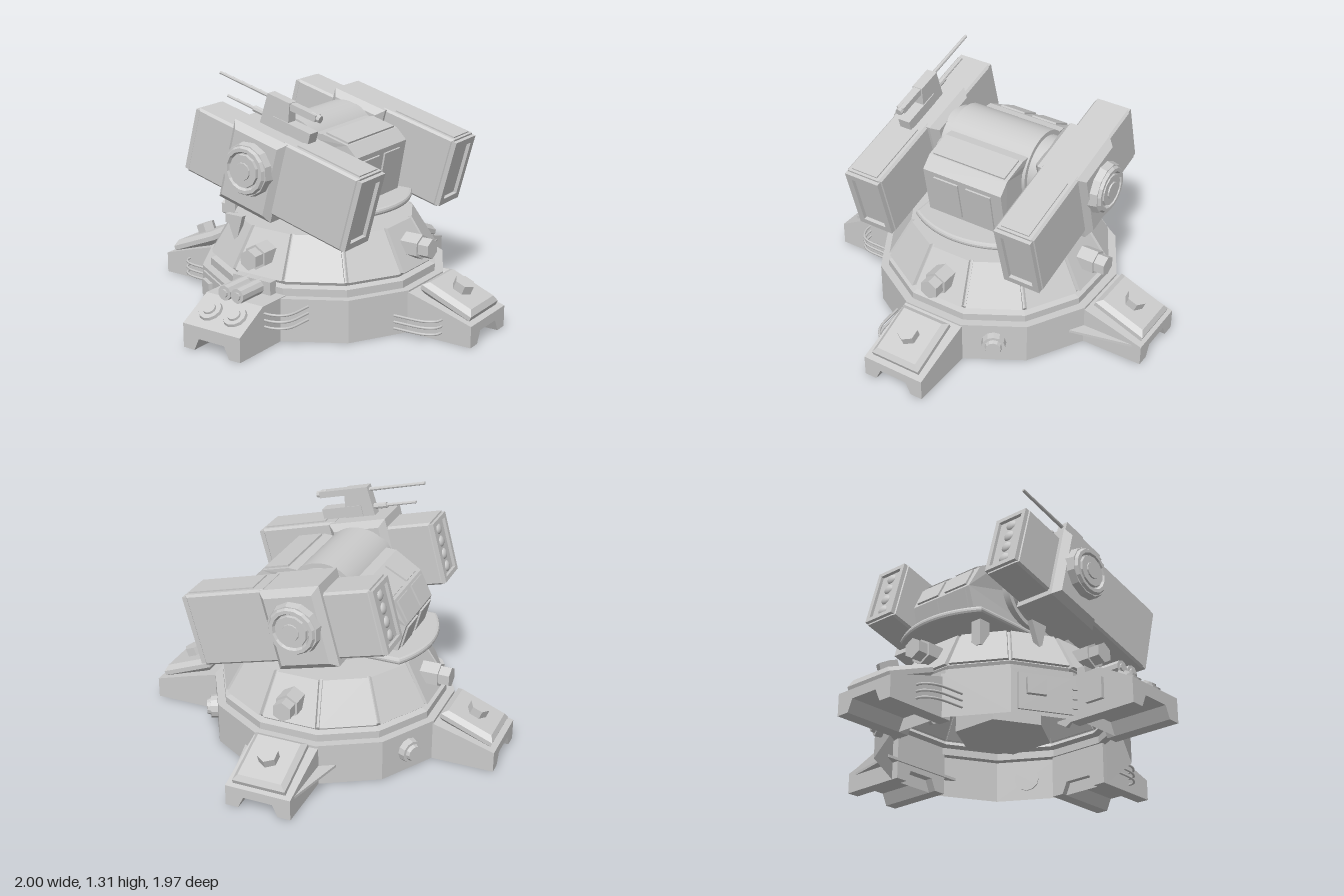
import * as THREE from 'three';

const flat = new THREE.MeshStandardMaterial({ color: 0xcccccc, flatShading: true, side: THREE.DoubleSide });
const smooth = new THREE.MeshStandardMaterial({ color: 0xcccccc });
const PI = Math.PI;

function add(parent, name, geo, x = 0, y = 0, z = 0, mat = flat) {
  const m = new THREE.Mesh(geo, mat);
  m.name = name;
  m.position.set(x, y, z);
  parent.add(m);
  return m;
}
const box = (w, h, d) => new THREE.BoxGeometry(w, h, d);
const cyl = (r1, r2, h, n) => new THREE.CylinderGeometry(r1, r2, h, n);
const cylZ = (r1, r2, h, n) => cyl(r1, r2, h, n).rotateX(PI / 2);
const shapeOf = pts => new THREE.Shape(pts.map(p => new THREE.Vector2(p[0], p[1])));
const extrude = (pts, depth) => new THREE.ExtrudeGeometry(shapeOf(pts), { depth, bevelEnabled: false });

// Chamfered block centred on the origin
function bevelBox(w, h, d, b) {
  const a = w / 2 - b, c = h / 2 - b;
  return new THREE.ExtrudeGeometry(shapeOf([[-a, -c], [a, -c], [a, c], [-a, c]]),
    { depth: d - 2 * b, bevelEnabled: true, bevelSize: b, bevelThickness: b, bevelSegments: 1 })
    .translate(0, 0, b - d / 2);
}

// Rectangular rim with an opening, lying in the z-y plane
function frame(w, h, t, d) {
  const s = shapeOf([[-w / 2, -h / 2], [w / 2, -h / 2], [w / 2, h / 2], [-w / 2, h / 2]]);
  const a = w / 2 - t, c = h / 2 - t;
  s.holes.push(new THREE.Path([[-a, -c], [-a, c], [a, c], [a, -c]].map(p => new THREE.Vector2(...p))));
  return new THREE.ExtrudeGeometry(s, { depth: d, bevelEnabled: false }).translate(0, 0, -d / 2).rotateY(PI / 2);
}

function tube(parent, name, pts, r) {
  const curve = new THREE.CatmullRomCurve3(pts.map(p => new THREE.Vector3(...p)));
  return add(parent, name, new THREE.TubeGeometry(curve, 16, r, 6), 0, 0, 0, smooth);
}

// Foot reaching out along +z, arched underneath, its top following heights [inner, middle, outer]
function footBlock(len, heights) {
  const g = new THREE.ExtrudeGeometry(shapeOf([[-.18, 0], [-.11, 0], [-.08, .065], [.08, .065], [.11, 0], [.18, 0],
    [.18, .23], [-.18, .23]]), { depth: len, steps: 2, bevelEnabled: false });
  const p = g.attributes.position;
  for (let i = 0; i < p.count; i++)
    if (p.getY(i) > .2) p.setY(i, heights[Math.round(p.getZ(i) / len * 2)]);
  return g.translate(0, 0, .6);
}

function makeBase(root) {
  const base = new THREE.Group();
  base.name = 'base';
  base.position.x = -.015;
  root.add(base);
  // Twelve-sided hollow hull and sloping upper deck
  const profile = [[.67, 0], [.67, .23], [.625, .23], [.625, .27], [.59, .28], [.60, .3], [.475, .515], [.2, .515]];
  add(base, 'hull', new THREE.LatheGeometry(profile.map(p => new THREE.Vector2(...p)), 12, PI / 12));
  add(base, 'innerColumn', cyl(.26, .26, .38, 6), 0, .32, 0);
  for (let i = 0; i < 12; i++) {
    const g = box(2, .21, .03), p = g.attributes.position;
    for (let j = 0; j < p.count; j++) {
      const r = p.getY(j) > 0 ? .475 : .60;
      p.setX(j, p.getX(j) * (r * Math.tan(PI / 12) - .012));
      p.setZ(j, p.getZ(j) + r - .015);
    }
    add(base, 'armourPlate', g.translate(0, .41, 0)).rotation.y = i * PI / 6;
  }
  // Hex knobs on the four axes of the deck
  for (let i = 0; i < 4; i++) {
    const knob = new THREE.Group();
    knob.name = 'deckKnob';
    knob.rotation.y = i * PI / 2;
    add(knob, 'knobCollar', cylZ(.068, .068, .1, 6), 0, .41, .57);
    add(knob, 'knobRod', cylZ(.055, .055, .14, 6), 0, .41, .61);
    base.add(knob);
  }
  // Round ports on the rear hull sides
  for (const a of [2 * PI / 3, -2 * PI / 3]) {
    const port = new THREE.Group();
    port.name = 'hullPort';
    port.rotation.y = a;
    add(port, 'portRim', cylZ(.062, .068, .05, 12), 0, .12, .66);
    add(port, 'portCap', cylZ(.04, .05, .03, 12), 0, .12, .69);
    base.add(port);
  }
  // Access hatch on the front hull side
  const hatch = new THREE.Group();
  hatch.name = 'hatch';
  hatch.rotation.y = -PI / 6;
  add(hatch, 'hatchDoor', box(.28, .19, .015), 0, .115, .65);
  add(hatch, 'hatchBox', box(.1, .085, .04), -.05, .14, .66);
  for (let i = 0; i < 3; i++) add(hatch, 'vent', box(.03, .018, .02), .15, .06 + i * .05, .65);
  base.add(hatch);
  // Fins standing on the deck
  add(base, 'deckFin', extrude([[-.05, .12], [.06, .12], [.015, -.04]], .03), -.26, .43, .44);
  add(base, 'deckPost', box(.07, .14, .06), -.44, .49, .24);
}

function makeFeet(root) {
  for (const [name, a, len] of [['leftFoot', PI / 2, .4], ['rightFoot', -PI / 2, .4], ['rearFoot', PI, .39]]) {
    const foot = new THREE.Group();
    foot.name = name;
    foot.rotation.y = a;
    foot.position.x = name === 'rearFoot' ? -.02 : 0;
    add(foot, 'footBlock', footBlock(len, [.23, .175, .115]));
    // Thin side fins on the rear foot only
    if (name === 'rearFoot')
      add(foot, 'footFin', extrude([[-.17, -.98], [.17, -.98], [.26, -.59], [-.26, -.59]], .015).rotateX(PI / 2), 0, .11, 0)
        .scale.z = -1;
    const pad = new THREE.Group();
    pad.name = 'footPad';
    pad.position.set(0, .195, .83);
    pad.rotation.x = .38;
    add(pad, 'padPlate', bevelBox(.29, .31, .075, .025).rotateX(-PI / 2));
    add(pad, 'padBolt', cyl(.055, .055, .05, 6), 0, .06, 0);
    foot.add(pad);
    root.add(foot);
  }
  // Front foot with lamps and two canisters
  const front = new THREE.Group();
  front.name = 'frontFoot';
  front.position.x = -.02;
  add(front, 'footBlock', footBlock(.38, [.235, .235, .13]));
  for (const x of [-.078, .078]) {
    add(front, 'lampRim', cyl(.06, .066, .025, 12), x, .187, .885).rotation.x = PI / 6;
    add(front, 'lampLens', cyl(.032, .04, .04, 12), x, .19, .888).rotation.x = PI / 6;
    add(front, 'canister', cylZ(.04, .04, .2, 10), x * .52, .268, .72);
    add(front, 'canisterCap', cylZ(.022, .022, .22, 10), x * .52, .268, .72);
  }
  add(front, 'canisterMount', box(.24, .08, .05), 0, .265, .625);
  add(front, 'sideBox', box(.03, .11, .1), -.185, .12, .76);
  root.add(front);
  // Bent pipes between feet and hull
  for (const y of [.045, .08, .115]) {
    for (const s of [-1, 1])
      tube(root, 'sidePipe', [[s * .83, y, .16], [s * .825, y, .21], [s * .77, y, .25], [s * .6, y, .265]], .007);
    tube(root, 'frontPipe', [[.14, y + .08, .78], [.21, y + .08, .775], [.27, y + .08, .73], [.285, y + .08, .58]], .007);
  }
}

// Slab lying on the line from a to b of the cabin profile
function slab(parent, name, a, b, z, width, fit = .8) {
  const dx = b[0] - a[0], dy = b[1] - a[1];
  const m = add(parent, name, box(Math.hypot(dx, dy) * fit, .02, width), (a[0] + b[0]) / 2, (a[1] + b[1]) / 2, z);
  m.rotation.z = Math.atan2(dy, dx);
}

function makeCabin(root) {
  const cabin = new THREE.Group();
  cabin.name = 'cabin';
  root.add(cabin);
  add(cabin, 'neck', cyl(.24, .25, .1, 12), -.06, .55, 0);
  // Platform: a disc cut straight along both sides
  const disc = new THREE.Shape(), a = Math.asin(.275 / .505);
  disc.absarc(0, 0, .505, -a, a, false);
  disc.absarc(0, 0, .505, PI - a, PI + a, false);
  add(cabin, 'platform', new THREE.ExtrudeGeometry(disc, { depth: .01, bevelEnabled: true, bevelSize: .015,
    bevelThickness: .013, bevelSegments: 2, curveSegments: 14 }).rotateX(-PI / 2), -.07, .6, 0);
  const pts = [[-.46, .62], [-.5, .77], [-.43, .9], [-.28, .98], [.14, 1.0], [.29, .96], [.35, .9], [.3, .62]];
  const g = extrude(pts, .48).translate(0, 0, -.24);
  const p = g.attributes.position;
  for (let i = 0; i < p.count; i++) {
    const x = p.getX(i);
    if (x < -.25) p.setZ(i, p.getZ(i) * (1 + (x + .25) * .7));
  }
  add(cabin, 'cabinShell', g);
  for (const s of [-1, 1]) {
    for (let i = 0; i < 3; i++) slab(cabin, 'window', pts[i], pts[i + 1], s * .1, .15);
    slab(cabin, 'rearPanel', pts[6], pts[7], s * .1, .15);
  }
  slab(cabin, 'rearRoof', pts[4], pts[5], 0, .44, .9);
}

function makePod(head, s) {
  const pod = new THREE.Group();
  pod.name = s > 0 ? 'frontPod' : 'rearPod';
  pod.position.z = s * .45;
  head.add(pod);
  add(pod, 'podHub', bevelBox(.34, .44, .3, .035), 0, -.02, 0);
  add(pod, 'launcherBox', bevelBox(.28, .36, .21, .012), -.28, -.03, -s * .01);
  add(pod, 'rearBox', bevelBox(.46, .4, .22, .012), .375, .003, s * .01);
  add(pod, 'rearBoxLid', box(.38, .02, .16), .4, .2, s * .01);
  // Launcher end with four round tubes, and framed rear end
  add(pod, 'launcherFrame', frame(.2, .34, .025, .025), -.425, -.03, -s * .01);
  add(pod, 'rearFrame', frame(.21, .38, .035, .03), .61, .003, s * .01);
  for (let i = 0; i < 4; i++)
    add(pod, 'launchTube', new THREE.SphereGeometry(.032, 12, 8), -.415, -.14 + i * .073, -s * .01, smooth).scale.x = .6;
  // Stepped pivot cap on the outer face
  const cap = (name, r1, r2, z, h) => add(pod, name, cylZ(s > 0 ? r1 : r2, s > 0 ? r2 : r1, h, 12), 0, 0, s * z);
  cap('pivotBase', .135, .145, .165, .05);
  add(pod, 'pivotRim', new THREE.TorusGeometry(.11, .018, 6, 16), 0, 0, s * .19);
  cap('pivotHub', .085, .09, .19, .03);
  cap('pivotCentre', .045, .05, .2, .025);
}

function makeGun(head) {
  const gun = new THREE.Group();
  gun.name = 'roofGun';
  gun.position.z = .445;
  head.add(gun);
  add(gun, 'gunMount', extrude([[-.08, .19], [.1, .19], [.07, .365], [-.07, .365]], .06).translate(0, 0, -.03));
  add(gun, 'gunBody', box(.28, .035, .045), .09, .345, 0);
  add(gun, 'gunGrip', cyl(.02, .02, .06, 8).rotateZ(PI / 2), .22, .345, 0);
  add(gun, 'ammoBox', box(.24, .06, .07), .11, .235, 0);
  add(gun, 'barrel', cyl(.009, .011, .36, 8).rotateZ(PI / 2), -.22, .342, 0);
  add(gun, 'lowerBarrel', cyl(.008, .01, .28, 8).rotateZ(PI / 2), -.185, .242, 0);
  add(gun, 'barrelSleeve', cyl(.017, .017, .1, 8).rotateZ(PI / 2), -.1, .242, 0);
}

export function createModel() {
  const root = new THREE.Group();
  root.name = 'turret';
  makeBase(root);
  makeFeet(root);
  makeCabin(root);
  // Tilting head carrying both pods on a drum
  const head = new THREE.Group();
  head.name = 'head';
  head.position.set(-.06, .865, 0);
  head.rotation.z = -PI / 12;
  root.add(head);
  add(head, 'drum', cylZ(.2, .2, .5, 40), 0, 0, 0, smooth);
  add(head, 'axle', cylZ(.175, .175, .64, 32), 0, 0, 0, smooth);
  for (const s of [-1, 1]) makePod(head, s);
  makeGun(head);
  return root;
}
